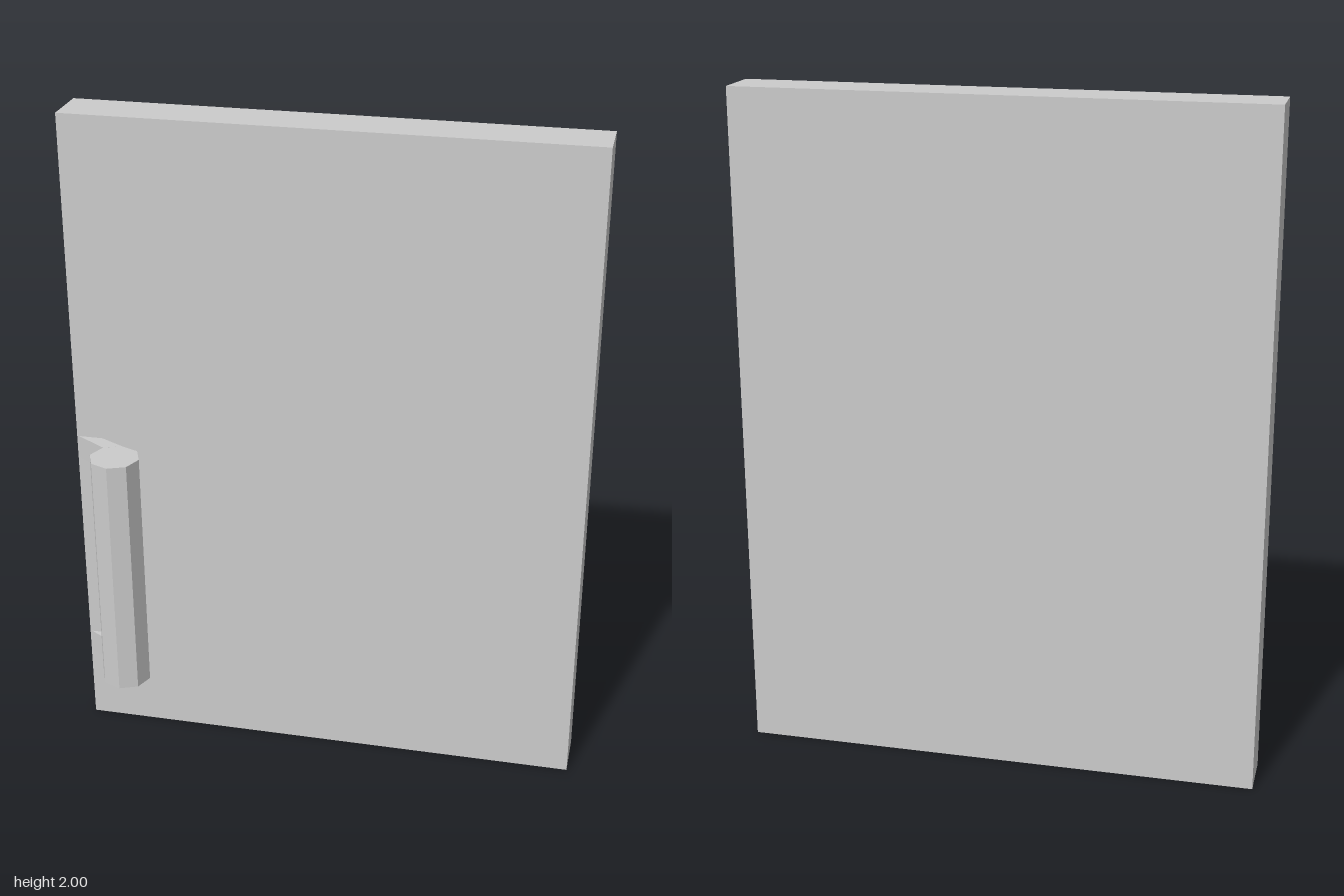
import * as THREE from 'three';

export function createModel() {
  const group = new THREE.Group();
  const material = new THREE.MeshStandardMaterial({ color: 0xcccccc, flatShading: true });
  const add = (name, geometry, x = 0, y = 0, z = 0) => {
    const mesh = new THREE.Mesh(geometry, material);
    mesh.name = name;
    mesh.position.set(x, y, z);
    group.add(mesh);
  };

  // Door slab
  add('doorPanel', new THREE.BoxGeometry(1.54, 2, 0.153), 0, 1, -0.0965);

  // Upright eight-sided grip
  const bottom = 0.232, top = 1;
  add('handleBar', new THREE.CylinderGeometry(0.076, 0.076, top - bottom, 8),
    -0.615, (top + bottom) / 2, 0.095);

  // Slanted brackets joining the grip to the door, drawn in plan as (x, -z)
  const plan = new THREE.Shape([[-0.765, 0.02], [-0.668, -0.04], [-0.615, -0.019], [-0.69, 0.02]]
    .map(([x, y]) => new THREE.Vector2(x, y)));
  const height = 0.074;
  const bracket = new THREE.ExtrudeGeometry(plan, { depth: height, bevelEnabled: false });
  bracket.rotateX(-Math.PI / 2);
  add('lowerBracket', bracket, 0, bottom, 0);
  add('upperBracket', bracket, 0, top - height, 0);

  return group;
}
